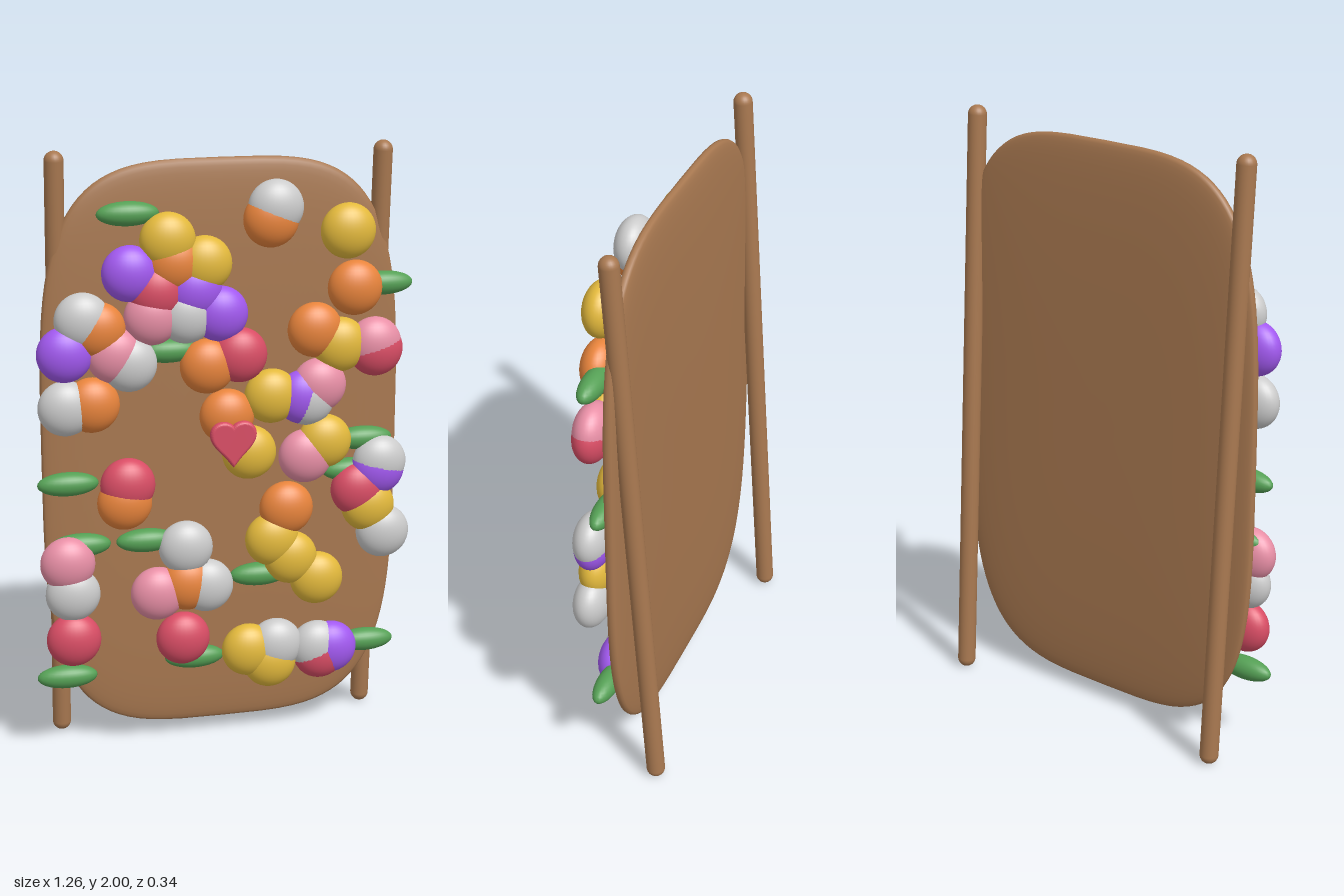
import * as THREE from 'three';
import { mergeVertices } from 'three/addons/utils/BufferGeometryUtils.js';

const mat = (color) => new THREE.MeshStandardMaterial({ color });

// Pairs of x, y centres for the blossoms of each colour
const BLOSSOMS = {
  white: [0xcccccc, [0.161, 1.812, 0.521, 0.95, 0.537, 0.706, 0.272, 1.183, -0.13, 1.479, -0.463, 1.479,
    -0.315, 1.331, -0.521, 1.198, -0.511, 0.569, -0.135, 0.701, -0.066, 0.563, 0.172, 0.331, 0.315, 0.31]],
  orange: [0xe8843c, [0.146, 1.775, 0.426, 1.542, 0.294, 1.41, 0.204, 0.812, 0.003, 1.14, -0.061, 1.31,
    -0.336, 0.87, -0.167, 1.648, -0.415, 1.447, -0.437, 1.204, -0.13, 0.574]],
  yellow: [0xe3b93c, [0.4, 1.728, 0.378, 1.357, 0.151, 1.198, 0.331, 1.034, 0.484, 0.802, 0.156, 0.706,
    0.22, 0.638, 0.31, 0.558, 0.077, 1.013, -0.188, 1.722, -0.071, 1.643, 0.077, 0.32, 0.151, 0.272]],
  purple: [0xa259f0, [0.257, 1.188, 0.516, 0.929, -0.31, 1.622, -0.103, 1.558, -0.019, 1.479,
    -0.521, 1.373, 0.362, 0.304]],
  red: [0xd94d65, [0.5, 1.336, 0.447, 0.86, 0.045, 1.341, -0.325, 0.929, -0.225, 1.558, -0.511, 0.41,
    -0.146, 0.383, 0.325, 0.288]],
  pink: [0xe88fa6, [0.495, 1.352, 0.31, 1.225, 0.267, 0.987, -0.241, 1.479, -0.362, 1.362,
    -0.526, 0.675, -0.23, 0.548]],
};

const LEAVES = [-0.31, 1.807, 0.526, 1.548, -0.516, 0.939, -0.183, 1.362, 0.468, 1.029, 0.431, 0.923,
  -0.479, 0.728, -0.262, 0.728, 0.119, 0.579, -0.532, 0.272, -0.103, 0.304, 0.489, 0.31];

// One group of equal ellipsoids at the given centres
function scatter(name, geometry, color, centres, z) {
  const group = new THREE.Group();
  group.name = name + 's';
  const material = mat(color);
  for (let i = 0; i < centres.length; i += 2) {
    const mesh = new THREE.Mesh(geometry, material);
    mesh.name = name;
    mesh.position.set(centres[i], centres[i + 1], z);
    group.add(mesh);
  }
  return group;
}

// Sphere reshaped into a thin slab with a rounded-rectangle outline
function slabGeometry(halfW, halfH, halfD, outline, edge) {
  let g = new THREE.SphereGeometry(1, 96, 32).rotateX(Math.PI / 2);
  const p = g.attributes.position;
  const pow = (v, e) => Math.sign(v) * Math.abs(v) ** e;
  for (let i = 0; i < p.count; i++) {
    const x = p.getX(i), y = p.getY(i), z = p.getZ(i);
    const t = Math.atan2(y, x);
    const r = Math.hypot(x, y) ** edge;
    p.setXYZ(i, halfW * r * pow(Math.cos(t), outline), halfH * r * pow(Math.sin(t), outline), halfD * pow(z, edge));
  }
  g.deleteAttribute('uv');
  g.deleteAttribute('normal');
  g = mergeVertices(g, 1e-5);
  g.computeVertexNormals();
  return g;
}

// Round-ended pole between two points
function pole(from, to, radius, material) {
  const dir = to.clone().sub(from);
  const mesh = new THREE.Mesh(new THREE.CapsuleGeometry(radius, dir.length(), 8, 24), material);
  mesh.position.copy(from).add(to).multiplyScalar(0.5);
  mesh.quaternion.setFromUnitVectors(new THREE.Vector3(0, 1, 0), dir.normalize());
  return mesh;
}

function heartGeometry() {
  const s = new THREE.Shape();
  s.moveTo(0, 0.042);
  s.bezierCurveTo(0.012, 0.072, 0.066, 0.07, 0.066, 0.03);
  s.bezierCurveTo(0.066, -0.005, 0.02, -0.03, 0, -0.066);
  s.bezierCurveTo(-0.02, -0.03, -0.066, -0.005, -0.066, 0.03);
  s.bezierCurveTo(-0.066, 0.07, -0.012, 0.072, 0, 0.042);
  return new THREE.ExtrudeGeometry(s, {
    depth: 0.006, bevelThickness: 0.011, bevelSize: 0.01, bevelSegments: 5, curveSegments: 16,
  }).translate(0, 0, -0.003);
}

export function createModel() {
  const model = new THREE.Group();
  model.name = 'flowerStand';
  const wood = mat(0xa87850);

  // Upright board
  const board = new THREE.Mesh(slabGeometry(0.595, 0.957, 0.036, 0.53, 0.6), wood);
  board.name = 'board';
  board.position.set(0.004, 1.007, -0.013);
  model.add(board);

  // Two leaning poles behind the board
  for (const side of [-1, 1]) {
    const x = 0.004 + side * 0.532;
    const leg = pole(new THREE.Vector3(x, 0.03, -0.138), new THREE.Vector3(x, 1.97, -0.01), 0.031, wood);
    leg.name = side > 0 ? 'leftPole' : 'rightPole';
    model.add(leg);
  }

  // Blossoms and leaves on the front
  const blossom = new THREE.SphereGeometry(0.09, 32, 20).scale(1, 1, 0.65);
  for (const [name, [color, centres]] of Object.entries(BLOSSOMS)) {
    model.add(scatter(name + 'Blossom', blossom, color, centres, 0.073));
  }
  const leaf = new THREE.SphereGeometry(1, 24, 16).scale(0.1, 0.039, 0.038);
  model.add(scatter('leaf', leaf, 0x55a055, LEAVES, 0.05));

  // Heart floating in front
  const heart = new THREE.Mesh(heartGeometry(), mat(0xd94d65));
  heart.name = 'heart';
  heart.position.set(0.004, 1.072, 0.158);
  model.add(heart);

  return model;
}
